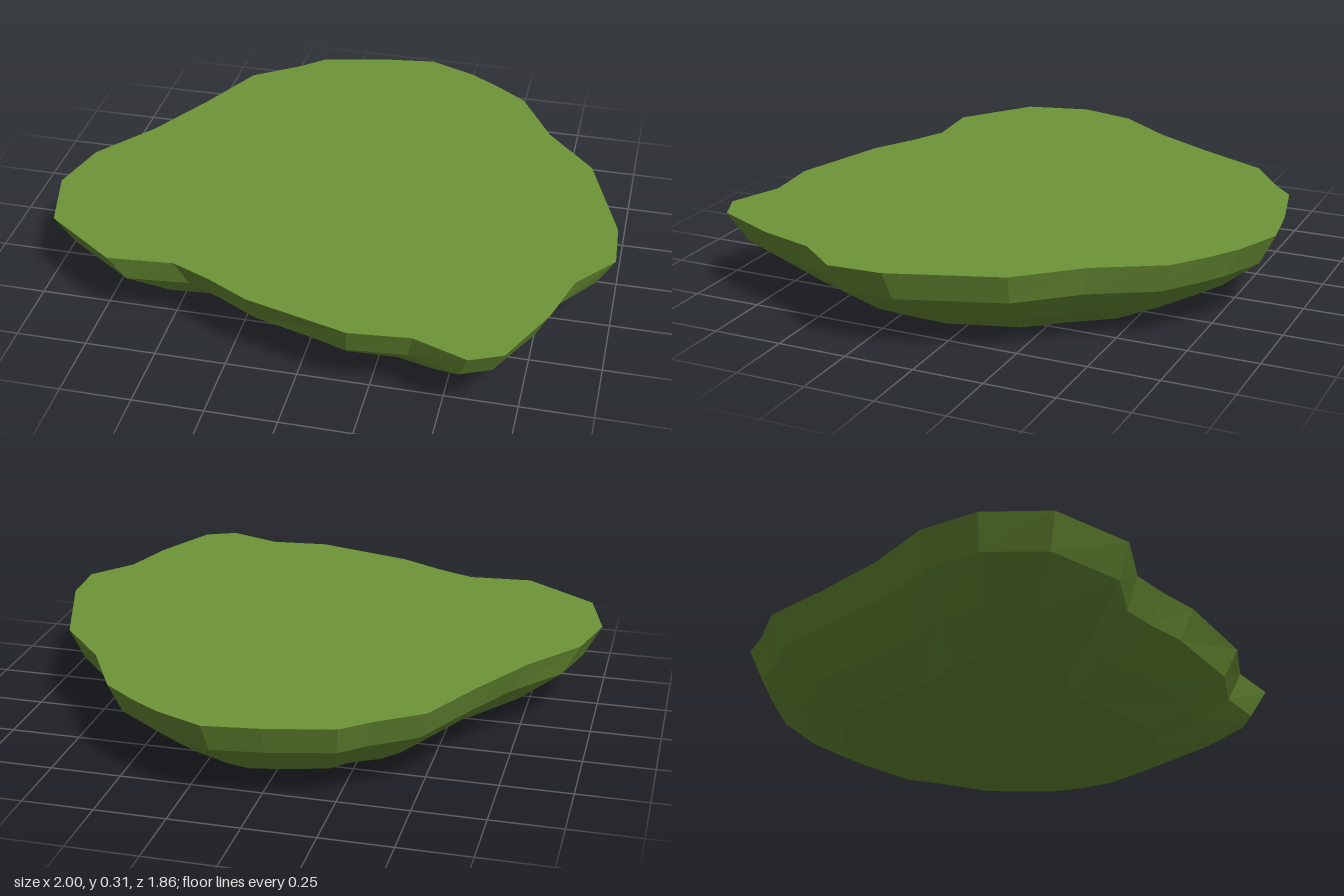
import * as THREE from 'three';

// Rim outline: x, z, and how far the base is pulled in at that corner
const OUTLINE = [
  [0.15, -0.93, 0.63], [0.32, -0.86, 0.62], [0.43, -0.79, 0.62], [0.55, -0.70, 0.63],
  [0.68, -0.47, 0.65], [0.86, -0.27, 0.64], [0.99, 0.11, 0.63], [1.00, 0.30, 0.62],
  [0.88, 0.45, 0.68], [0.82, 0.65, 0.65], [0.71, 0.88, 0.61], [0.60, 0.93, 0.61],
  [0.41, 0.86, 0.65], [0.20, 0.88, 0.63], [-0.16, 0.78, 0.58], [-0.31, 0.70, 0.56],
  [-0.45, 0.64, 0.55], [-0.68, 0.66, 0.57], [-0.94, 0.475, 0.60], [-1.00, 0.24, 0.62],
  [-0.945, 0.03, 0.60], [-0.785, -0.18, 0.58], [-0.65, -0.42, 0.61], [-0.53, -0.66, 0.61],
  [-0.37, -0.77, 0.60], [-0.28, -0.85, 0.61], [-0.04, -0.905, 0.62],
];

// Rings from base to rim: height, and blend from base outline to rim outline
const RINGS = [[0, 0], [0.09, 0.45], [0.2, 0.84], [0.31, 1]];

export function createModel() {
  const group = new THREE.Group();
  const grass = new THREE.MeshStandardMaterial({ color: 0x6f9637 });
  grass.name = 'grass green';

  const rings = RINGS.map(([y, t]) => OUTLINE.map(([x, z, k]) => {
    const s = k + (1 - k) * t;
    return [x * s, y, z * s];
  }));
  const n = OUTLINE.length;

  // Unshared corners keep every facet flat
  const addPart = (name, triangles) => {
    const geometry = new THREE.BufferGeometry();
    geometry.setAttribute('position', new THREE.Float32BufferAttribute(triangles.flat(2), 3));
    geometry.computeVertexNormals();
    const mesh = new THREE.Mesh(geometry, grass);
    mesh.name = name;
    group.add(mesh);
  };

  // Sloping bank, one band between each pair of rings
  const bank = [];
  for (let r = 0; r < rings.length - 1; r++) {
    for (let i = 0; i < n; i++) {
      const j = (i + 1) % n;
      const a = rings[r][i], b = rings[r][j], c = rings[r + 1][j], d = rings[r + 1][i];
      bank.push([b, a, d], [b, d, c]);
    }
  }
  addPart('slopingBank', bank);

  // Flat ground on top and flat underside
  const top = rings[rings.length - 1], base = rings[0];
  addPart('flatTop', top.map((p, i) => [[0, p[1], 0], top[(i + 1) % n], p]));
  addPart('underside', base.map((p, i) => [[0, p[1], 0], p, base[(i + 1) % n]]));

  return group;
}
